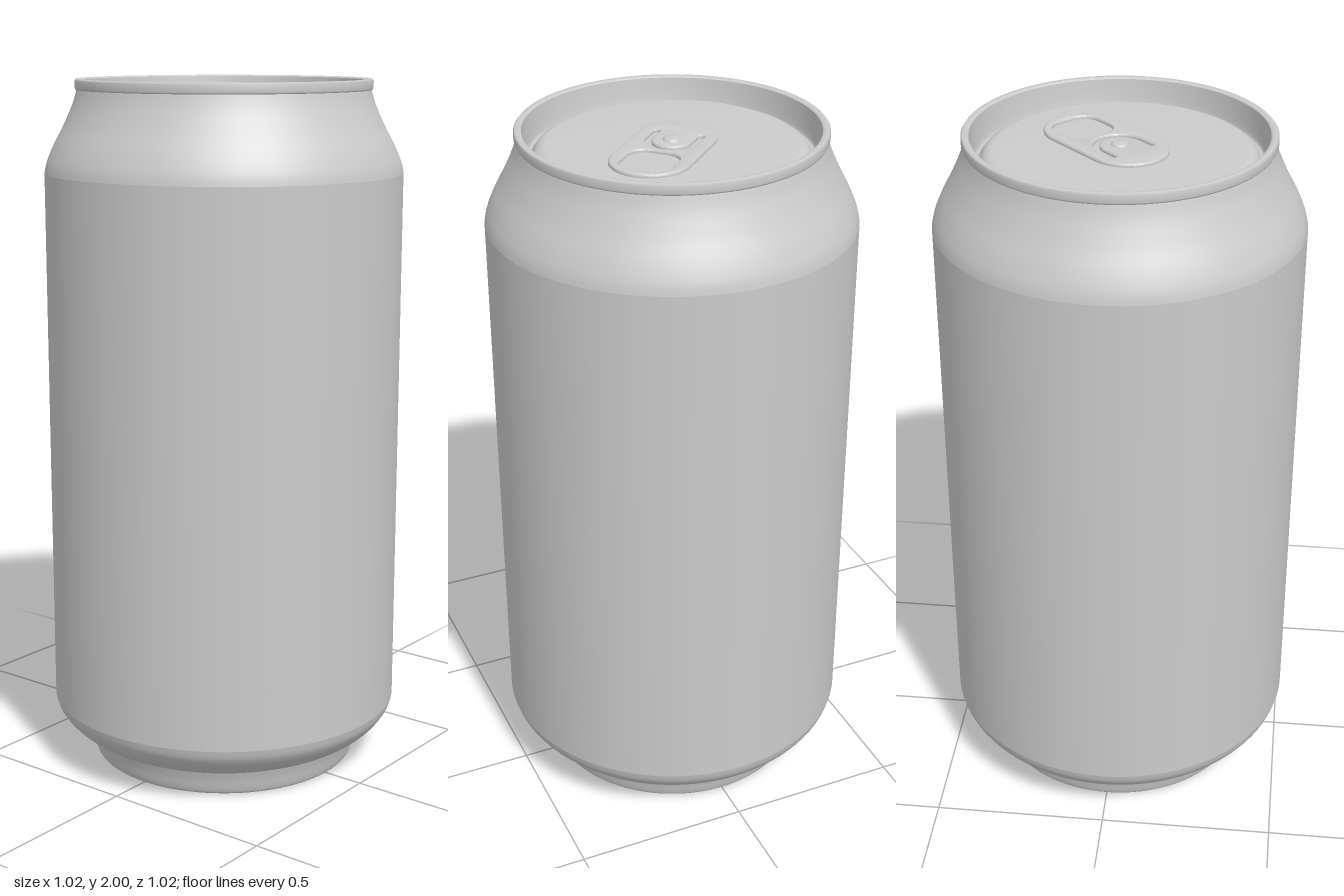
import * as THREE from 'three';
import { toCreasedNormals } from 'three/addons/utils/BufferGeometryUtils.js';

const material = new THREE.MeshStandardMaterial({ color: 0xcccccc, side: THREE.DoubleSide });
const SEGMENTS = 96;

function add(parent, name, geometry) {
  const mesh = new THREE.Mesh(geometry, material);
  mesh.name = name;
  parent.add(mesh);
  return mesh;
}

// Turned part; the profile runs as [radius, height] pairs
function turned(parent, name, profile, smooth = false) {
  let points = profile.map(([r, y]) => new THREE.Vector2(r, y));
  if (smooth) points = new THREE.SplineCurve(points).getPoints(24);
  points.forEach((p) => { p.x = Math.max(p.x, 0); });
  return add(parent, name, new THREE.LatheGeometry(points, SEGMENTS));
}

// Plan outline around two circles on the x axis (r1 >= r2)
function hull(target, x1, r1, x2, r2) {
  const a = Math.acos((r1 - r2) / (x2 - x1));
  target.absarc(x2, 0, r2, -a, a, false);
  target.absarc(x1, 0, r1, a, Math.PI * 2 - a, false);
  target.closePath();
  return target;
}

// Horizontal plate whose top is at height top
function plate(parent, name, shape, top, thickness, bevel, bevelWidth = bevel) {
  let g = new THREE.ExtrudeGeometry(shape, {
    depth: thickness - 2 * bevel, bevelEnabled: true, bevelThickness: bevel,
    bevelSize: bevelWidth, bevelSegments: 3, curveSegments: 32,
  });
  g.rotateX(-Math.PI / 2);
  g.computeBoundingBox();
  g.translate(0, top - g.boundingBox.max.y, 0);
  return add(parent, name, toCreasedNormals(g, 0.6));
}

// Low embossed bead along an arc in plan
function bead(parent, name, x, y, radius, from, to, width) {
  const g = new THREE.TorusGeometry(radius, width, 8, 64, to - from);
  g.rotateZ(from).rotateX(-Math.PI / 2).scale(1, 0.7, 1).translate(x, y, 0);
  return add(parent, name, g);
}

export function createModel() {
  const can = new THREE.Group();
  can.name = 'drinkCan';

  // Body
  turned(can, 'baseRecess', [[0, 0.08], [0.14, 0.077], [0.25, 0.07], [0.28, 0.065]]);
  turned(can, 'baseInnerSlope', [[0.28, 0.065], [0.3, 0.05], [0.33, 0.02], [0.355, 0.003], [0.37, 0]], true);
  turned(can, 'baseFoot', [[0.37, 0], [0.383, 0.004], [0.39, 0.018], [0.398, 0.05], [0.406, 0.075]], true);
  turned(can, 'lowerCurve', [[0.406, 0.075], [0.44, 0.093], [0.475, 0.122], [0.5, 0.155], [0.51, 0.185]], true);
  turned(can, 'wall', [[0.51, 0.185], [0.51, 1.74]]);
  turned(can, 'shoulder', [[0.51, 1.74], [0.503, 1.77], [0.484, 1.815], [0.455, 1.87], [0.428, 1.93], [0.415, 1.972]], true);

  // Rim and the countersunk groove around the lid
  turned(can, 'rim', [[0.41, 1.97], [0.418, 1.97], [0.421, 1.975], [0.421, 1.995],
    [0.417, 2], [0.405, 2], [0.4, 1.996]]);
  turned(can, 'lidGroove', [[0.4, 1.996], [0.396, 1.96], [0.39, 1.925], [0.383, 1.918],
    [0.376, 1.922], [0.365, 1.938], [0.352, 1.947], [0.338, 1.95]], true);

  // Lid fittings, turned diagonally
  const lid = new THREE.Group();
  lid.name = 'lid';
  lid.rotation.y = Math.PI / 4;
  can.add(lid);

  // Lid panel with a teardrop depression
  const panel = new THREE.Shape().absarc(0, 0, 0.34, 0, Math.PI * 2, false);
  panel.holes.push(hull(new THREE.Path(), -0.1, 0.245, 0.155, 0.17));
  plate(lid, 'lidPanel', panel, 1.95, 0.018, 0.007, 0.014);
  add(lid, 'lidDepression', new THREE.CircleGeometry(0.345, 64).rotateX(-Math.PI / 2).translate(0, 1.936, 0));

  // Mouth outline and score line
  const deg = Math.PI / 180;
  bead(lid, 'mouthOutline', -0.141, 1.934, 0.165, 0, 360 * deg, 0.006);
  bead(lid, 'mouthScore', -0.141, 1.936, 0.165, 38 * deg, 258 * deg, 0.007);
  bead(lid, 'mouthBead', -0.141, 1.936, 0.145, 95 * deg, 255 * deg, 0.006);

  // Pull tab with finger hole and a U-shaped slot around the rivet tongue
  const tab = hull(new THREE.Shape(), -0.035, 0.105, 0.155, 0.105);
  const finger = new THREE.Path();
  const cx = 0.162, h = 0.078, r = 0.055;
  for (let i = 0; i < 4; i++) {
    const sx = i === 0 || i === 3 ? 1 : -1, sy = i < 2 ? 1 : -1;
    finger.absarc(cx + sx * (h - r), sy * (h - r), r, i * Math.PI / 2, (i + 1) * Math.PI / 2, false);
  }
  finger.closePath();
  const slot = new THREE.Path();
  slot.moveTo(-0.05, -0.078);
  slot.absarc(0, 0, 0.078, -Math.PI / 2, Math.PI / 2, false);
  slot.absarc(-0.05, 0.064, 0.014, Math.PI / 2, Math.PI * 1.5, false);
  slot.absarc(0, 0, 0.05, Math.PI / 2, -Math.PI / 2, true);
  slot.absarc(-0.05, -0.064, 0.014, Math.PI / 2, Math.PI * 1.5, false);
  slot.closePath();
  tab.holes.push(finger, slot);
  plate(lid, 'pullTab', tab, 1.96, 0.018, 0.005);

  // Rivet
  turned(lid, 'rivet', [[0.026, 1.955], [0.024, 1.963], [0.018, 1.967], [0, 1.968]]);

  return can;
}
